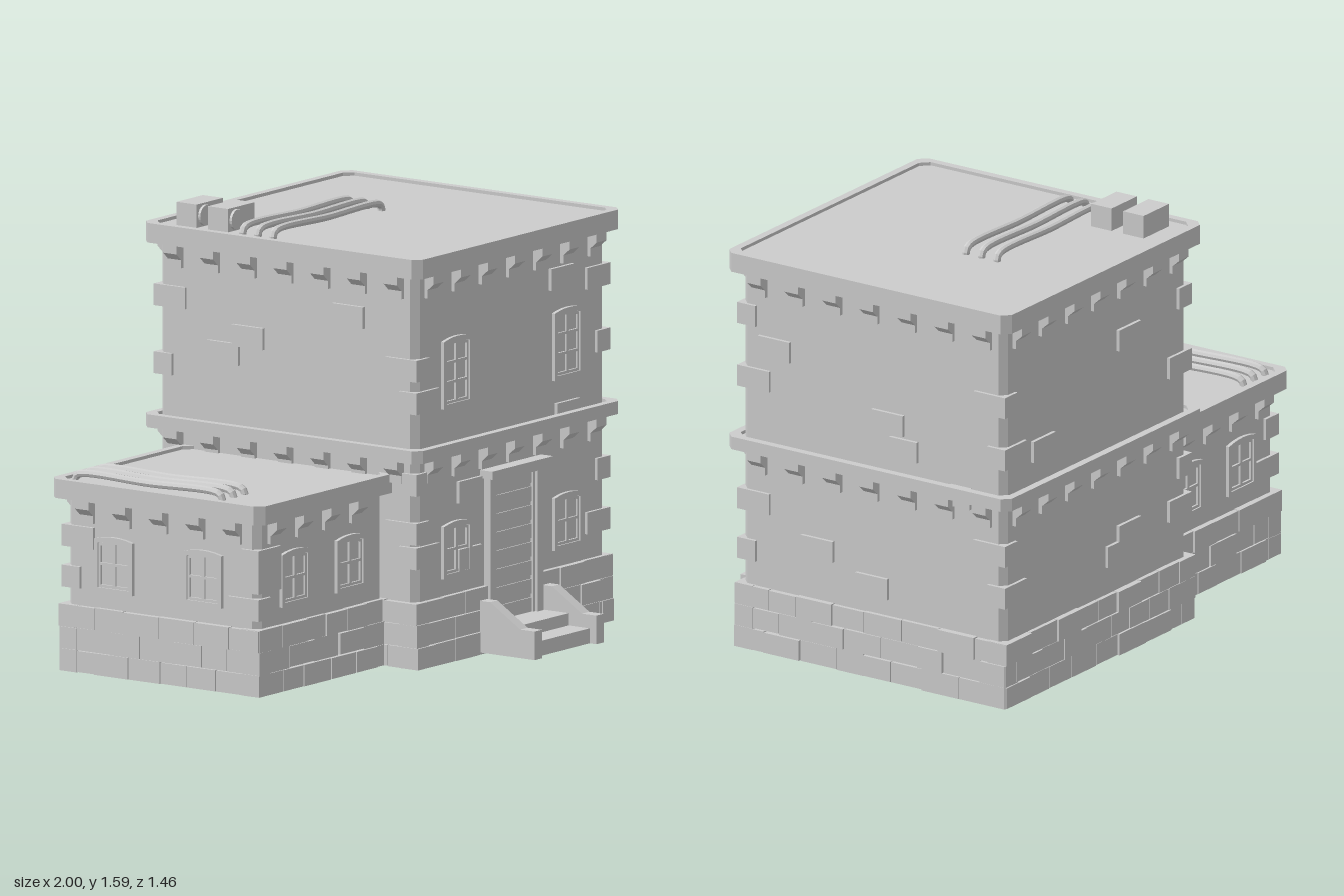
import * as THREE from 'three';

const mat = new THREE.MeshStandardMaterial({ color: 0xcccccc, flatShading: true });

function add(parent, geo, name, x = 0, y = 0, z = 0) {
  const m = new THREE.Mesh(geo, mat);
  m.name = name;
  m.position.set(x, y, z);
  parent.add(m);
  return m;
}
const box = (p, name, w, h, d, x, y, z) => add(p, new THREE.BoxGeometry(w, h, d), name, x, y, z);

let seed = 7;
const rand = () => (seed = (seed * 16807) % 2147483647) / 2147483647;

// rectangle with cut corners
const outline = (hx, hz, c) => [
  [-hx + c, -hz], [hx - c, -hz], [hx, -hz + c], [hx, hz - c],
  [hx - c, hz], [-hx + c, hz], [-hx, hz - c], [-hx, -hz + c],
].map(([x, y]) => new THREE.Vector2(x, y));

// upright prism with cut corners; rim > 0 leaves only a ring
function prism(p, name, f, hx, hz, c, y0, y1, rim = 0) {
  const s = new THREE.Shape(outline(hx, hz, c));
  if (rim) s.holes.push(new THREE.Path(outline(hx - rim, hz - rim, c).reverse()));
  const g = new THREE.ExtrudeGeometry(s, { depth: y1 - y0, bevelEnabled: false });
  g.rotateX(-Math.PI / 2);
  return add(p, g, name, f.x, y0, f.z);
}

// group on one wall: local +z points out of the wall; 0 front, 1 +x side, 2 back, 3 -x side
function face(p, f, i, name) {
  const g = new THREE.Group();
  g.name = name;
  g.position.set(f.x, 0, f.z);
  g.rotation.y = i * Math.PI / 2;
  p.add(g);
  return { g, out: i % 2 ? f.hx : f.hz, half: i % 2 ? f.hz : f.hx };
}

// slab with raised rim and a row of brackets along each listed side
function cornice(p, f, slab, y0, y1, counts) {
  prism(p, 'corniceSlab', slab, slab.hx, slab.hz, 0.03, y0, y1 - 0.012);
  prism(p, 'corniceRim', slab, slab.hx, slab.hz, 0.03, y1 - 0.012, y1, 0.03);
  const s = new THREE.Shape([[-0.02, 0.01], [0.042, 0.01], [0.042, -0.03], [0.014, -0.055],
    [0.014, -0.085], [-0.02, -0.085]].map(a => new THREE.Vector2(...a)));
  const g = new THREE.ExtrudeGeometry(s, { depth: 0.06, bevelEnabled: false });
  g.translate(0, 0, -0.03).rotateY(-Math.PI / 2);
  counts.forEach(([i, n, shift]) => {
    const w = face(p, f, i, 'brackets');
    for (let k = 0; k < n; k++) add(w.g, g, 'bracket', (k - (n - 1) / 2) * 0.165 + shift, y0, w.out);
  });
}

// three courses of stones along each listed side, leaving an optional gap
function stones(p, f, sides, gap) {
  sides.forEach(i => {
    const w = face(p, f, i, 'stoneBase');
    const end = w.half + 0.02;
    for (let r = 0; r < 3; r++) {
      let u = -end;
      while (u < end - 0.001) {
        let v = u + (u === -end && r % 2 ? 0.07 : 0.11 + rand() * 0.06);
        if (end - v < 0.06) v = end;
        const spans = gap && i === 0 ? [[u, Math.min(v, gap[0])], [Math.max(u, gap[1]), v]] : [[u, v]];
        const d = 0.015 + rand() * 0.01, h = 0.076 + rand() * 0.008;
        spans.forEach(([a, b]) => {
          if (b - a > 0.005) box(w.g, 'stone', b - a - 0.003, h, 0.06 + d, (a + b) / 2, 0.043 + r * 0.082, w.out + (d - 0.06) / 2);
        });
        u = v;
      }
    }
  });
}

// single stones showing on a wall, as [u, y] pairs
function wallStones(p, f, i, list) {
  const w = face(p, f, i, 'wallStones');
  list.forEach(([u, y, sx = 0.14]) => box(w.g, 'wallStone', sx, 0.08, 0.05, u, y, w.out - 0.012));
}

// corner stones, alternating direction
function quoins(p, f, sx, sz, ys) {
  ys.forEach((y, k) => {
    const a = k % 2 ? 0.08 : 0.14, b = k % 2 ? 0.14 : 0.08;
    box(p, 'cornerStone', a, 0.08, b, f.x + sx * (f.hx + 0.012 - a / 2), y, f.z + sz * (f.hz + 0.012 - b / 2));
  });
}

const archRect = (S, x0, x1, y0, y1, rise) => {
  const s = new S();
  s.moveTo(x0, y0);
  s.lineTo(x1, y0);
  s.lineTo(x1, y1 - rise);
  s.quadraticCurveTo((x0 + x1) / 2, y1 + rise, x0, y1 - rise);
  s.closePath();
  return s;
};

// arched window: outer frame, inner sash and glazing bars
function windowOn(w, u, y0, h, rows) {
  const g = new THREE.Group();
  g.name = 'window';
  g.position.set(u, y0, w.out);
  w.g.add(g);
  const frame = (e, depth, t) => {
    const s = archRect(THREE.Shape, -0.086 + e, 0.086 - e, e, h - e, 0.012);
    s.holes.push(archRect(THREE.Path, -0.086 + e + t, 0.086 - e - t, e + t, h - e - t, 0.01));
    return new THREE.ExtrudeGeometry(s, { depth, bevelEnabled: false, curveSegments: 6 });
  };
  add(g, frame(0, 0.018, 0.016), 'windowFrame', 0, 0, -0.004);
  add(g, frame(0.016, 0.012, 0.01), 'windowSash', 0, 0, -0.004);
  box(g, 'mullion', 0.012, h - 0.05, 0.012, 0, h / 2, 0.002);
  for (let k = 1; k < rows; k++) box(g, 'glazingBar', 0.125, 0.01, 0.012, 0, 0.02 + (h - 0.04) * k / rows, 0.002);
}

// three parallel roof pipes with ends bent down
function pipes(p, name, x, y, z, len, rot) {
  const g = new THREE.Group();
  g.name = name;
  g.position.set(x, y, z);
  g.rotation.y = rot;
  p.add(g);
  const l = len / 2 - 0.014;
  const c = new THREE.CatmullRomCurve3([[-l, -0.02], [-l, 0], [-l + 0.015, 0.015], [0, 0.016],
    [l - 0.015, 0.015], [l, 0], [l, -0.02]].map(a => new THREE.Vector3(a[0], a[1], 0)), false, 'centripetal');
  const t = new THREE.TubeGeometry(c, 48, 0.014, 8);
  for (let k = -1; k <= 1; k++) add(g, t, 'roofPipe', 0, 0, k * 0.068);
}

export function createModel() {
  const root = new THREE.Group();
  root.name = 'brickBuilding';
  const T = { x: 0.378, z: -0.112, hx: 0.578, hz: 0.578 };
  const A = { x: -0.5725, z: -0.115, hx: 0.3825, hz: 0.43 };

  // tower
  const tower = new THREE.Group();
  tower.name = 'tower';
  root.add(tower);
  prism(tower, 'towerWalls', T, T.hx, T.hz, 0.025, 0.005, 1.45, 0.03);
  const slab = { x: T.x, z: T.z, hx: 0.6225, hz: 0.6225 };
  const all = [0, 1, 2, 3].map(i => [i, 7, 0]);
  cornice(tower, T, slab, 0.765, 0.813, all);
  cornice(tower, T, slab, 1.445, 1.517, all);
  stones(tower, T, [0, 1, 2, 3], [-0.16, 0.16]);
  wallStones(tower, T, 0, [[0.3, 1.31], [0.335, 0.81], [-0.26, 0.615], [-0.26, 0.365]]);
  wallStones(tower, T, 1, [[-0.43, 1.17], [0.07, 0.99], [0.14, 0.9, 0.12], [-0.24, 0.445], [0, 0.35], [0.39, 0.77, 0.09]]);
  wallStones(tower, T, 2, [[0.2, 1.2], [-0.34, 0.93], [0.2, 0.45], [0.13, 0.39]]);
  wallStones(tower, T, 3, [[0.28, 1.27], [-0.17, 1.14], [-0.28, 1.07]]);
  quoins(tower, T, 1, 1, [0.38, 0.57, 1.28, 1.04]);
  quoins(tower, T, -1, 1, [0.41, 0.5, 0.68, 1.1, 0.98]);
  quoins(tower, T, 1, -1, [0.42, 0.58, 0.95, 1.15]);
  quoins(tower, T, -1, -1, [0.45, 0.6, 1.0, 1.25]);
  const front = face(tower, T, 0, 'towerFront');
  [-0.338, 0.335].forEach(u => {
    windowOn(front, u, 0.935, 0.26, 3);
    windowOn(front, u, 0.31, 0.205, 2);
  });

  // door with slats and frame
  const door = new THREE.Group();
  door.name = 'door';
  door.position.set(0.376, 0, T.z + T.hz);
  tower.add(door);
  box(door, 'doorPanel', 0.25, 0.54, 0.01, 0, 0.37, 0.002);
  for (let k = 0; k < 8; k++) box(door, 'doorSlat', 0.23, 0.054, 0.012, 0, 0.125 + k * 0.068 + 0.01, 0.006);
  [-1, 1].forEach(s => {
    box(door, 'doorJamb', 0.036, 0.55, 0.04, s * 0.143, 0.375, 0.01);
    box(door, 'innerJamb', 0.012, 0.54, 0.025, s * 0.119, 0.37, 0.006);
  });
  box(door, 'doorHead', 0.3, 0.02, 0.04, 0, 0.638, 0.01);
  box(door, 'lintel', 0.37, 0.03, 0.075, 0, 0.66, 0.018);

  // entrance steps between sloped side walls
  const steps = new THREE.Group();
  steps.name = 'entranceSteps';
  steps.position.set(0.376, 0, 0);
  root.add(steps);
  box(steps, 'upperStep', 0.34, 0.1, 0.15, 0, 0.06, 0.53);
  box(steps, 'lowerStep', 0.34, 0.055, 0.25, 0, 0.0375, 0.575);
  const prof = new THREE.Shape([[0.44, 0.01], [0.73, 0.01], [0.73, 0.115], [0.665, 0.115], [0.53, 0.2], [0.44, 0.2]]
    .map(a => new THREE.Vector2(...a)));
  const rail = new THREE.ExtrudeGeometry(prof, { depth: 0.045, bevelEnabled: false });
  rail.translate(0, 0, -0.0225).rotateY(-Math.PI / 2);
  [-1, 1].forEach(s => add(steps, rail, 'stepSideWall', s * 0.188, 0, 0));

  // annex
  const annex = new THREE.Group();
  annex.name = 'annex';
  root.add(annex);
  prism(annex, 'annexWalls', A, A.hx, A.hz, 0.025, 0, 0.645, 0.03);
  cornice(annex, A, { x: -0.585, z: -0.115, hx: 0.415, hz: 0.475 }, 0.64, 0.71,
    [[0, 4, -0.045], [2, 4, 0.045], [3, 5, 0]]);
  stones(annex, A, [0, 2, 3]);
  const sides = [[0, [-0.165, 0.17]], [2, [-0.17, 0.165]], [3, [-0.21, 0.19]]];
  sides.forEach(([i, us]) => {
    const w = face(annex, A, i, 'annexWindows');
    us.forEach(u => windowOn(w, u, 0.31, 0.205, 2));
  });
  quoins(annex, A, -1, 1, [0.42, 0.32, 0.5]);
  quoins(annex, A, -1, -1, [0.35, 0.5]);

  // roof equipment
  pipes(root, 'towerRoofPipes', 0.167, 1.517, -0.27, 0.685, 0);
  pipes(root, 'annexRoofPipes', -0.845, 0.705, -0.205, 0.685, Math.PI / 2);
  [-0.587, -0.446].forEach(z => {
    box(root, 'coolingUnit', 0.16, 0.09, 0.09, -0.087, 1.546, z);
    const ring = new THREE.CylinderGeometry(0.038, 0.038, 0.012, 20).rotateX(Math.PI / 2);
    add(root, ring, 'coolingFan', -0.12, 1.546, z + 0.049);
  });
  return root;
}
